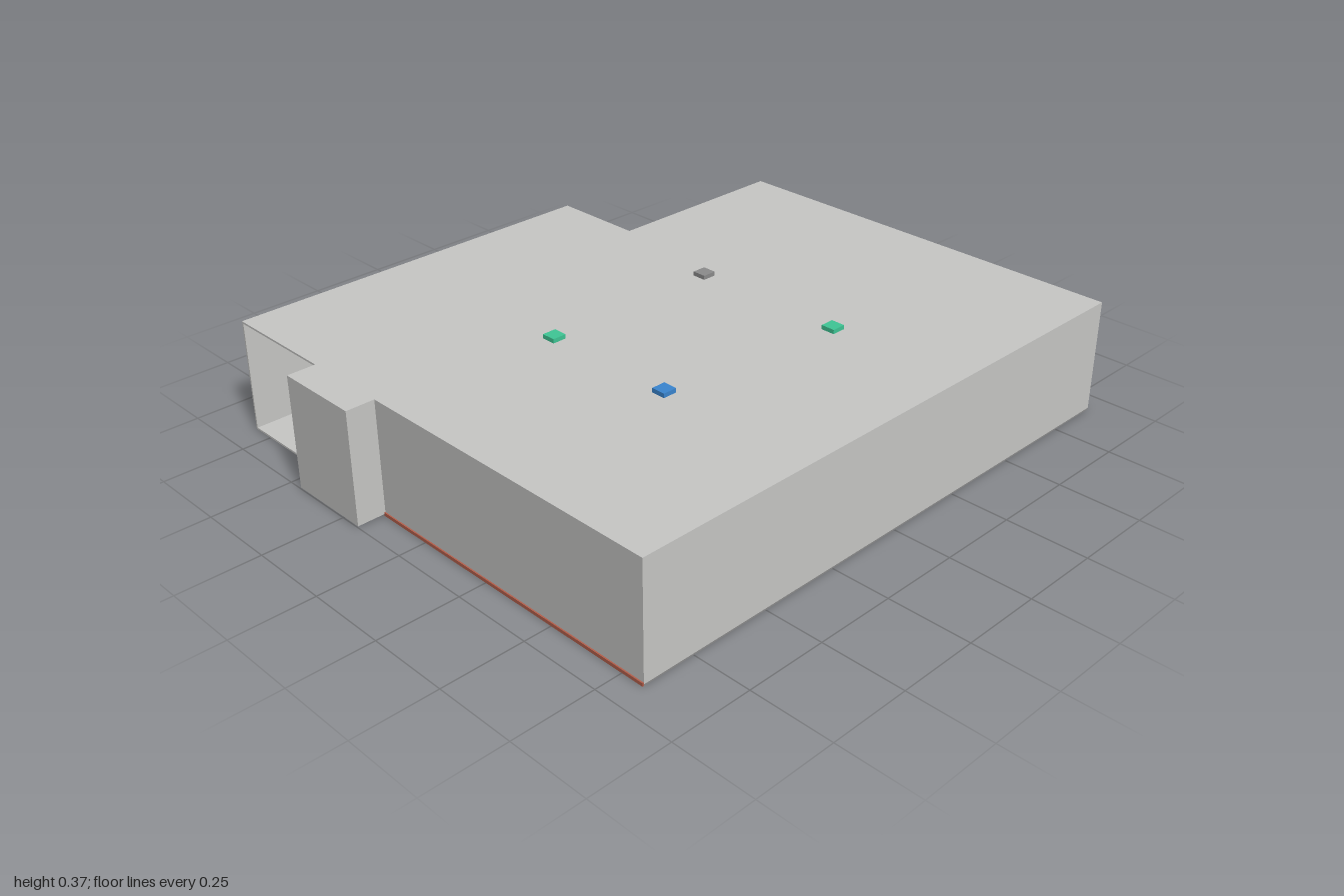
import * as THREE from 'three';
import { mergeVertices } from 'three/addons/utils/BufferGeometryUtils.js';

const material = (name, color) => {
  const m = new THREE.MeshStandardMaterial({ color });
  m.name = name;
  return m;
};

export function createModel() {
  const group = new THREE.Group();
  const wall = material('wall grey', 0xc8c8c6);
  const slabGrey = material('slab grey', 0x8c8c8c);
  const brick = material('brick red', 0xb5604c);
  const green = material('green', 0x3fc796);
  const blue = material('blue', 0x3a86d0);
  const frame = material('frame dark', 0x34404c);
  const tankGrey = material('tank grey', 0xd6d6d6);

  const add = (name, geometry, mat) => {
    const mesh = new THREE.Mesh(geometry, mat);
    mesh.name = name;
    group.add(mesh);
    return mesh;
  };
  // Box given by its lower and upper corners
  const box = (name, mat, x0, y0, z0, x1, y1, z1) =>
    add(name, new THREE.BoxGeometry(x1 - x0, y1 - y0, z1 - z0)
      .translate((x0 + x1) / 2, (y0 + y1) / 2, (z0 + z1) / 2), mat);
  // Floor plan of [x, z] corners raised from y0 to y1
  const prism = (name, mat, plan, y0, y1) => {
    const shape = new THREE.Shape(plan.map(([x, z]) => new THREE.Vector2(x, -z)));
    const g = new THREE.ExtrudeGeometry(shape, { depth: y1 - y0, bevelEnabled: false });
    add(name, g.rotateX(-Math.PI / 2).translate(0, y0, 0), mat);
  };

  const L = -0.817, R = 0.82, F = 0.912, B = -0.92, TOP = 0.354;
  const porchZ = 0.69, porchX = -0.45, bayX = -0.18, notchX = -0.52, notchZ = -0.307;

  // Main hall with the projecting front bay
  prism('hall', wall, [
    [L, porchZ], [porchX, porchZ], [porchX, 1], [bayX, 1], [bayX, F], [R, F],
    [R, B + 0.01], [notchX, B + 0.01], [notchX, notchZ], [L, notchZ],
  ], 0.005, TOP);

  // Ground slab
  prism('groundSlab', slabGrey, [
    [L, porchZ], [porchX, porchZ], [porchX, F], [R, F],
    [R, B], [notchX, B], [notchX, notchZ], [L, notchZ],
  ], 0, 0.005);
  box('frontPlinth', brick, bayX, 0, F, R, 0.01, F + 0.004);
  box('backPlinth', brick, notchX, 0.005, B + 0.003, R, 0.011, B + 0.011);

  // Rim around the slightly recessed back wall
  box('backRimTop', wall, notchX, TOP - 0.006, B, R, TOP, B + 0.01);
  box('backRimRight', wall, notchX, 0.005, B, notchX + 0.006, TOP - 0.006, B + 0.01);
  box('backRimLeft', wall, R - 0.006, 0.005, B, R, TOP - 0.006, B + 0.01);

  // Open porch at the front corner
  box('porchFloor', wall, L, 0.004, porchZ, porchX, 0.01, F);
  box('porchRoof', wall, L, TOP - 0.006, porchZ, porchX, TOP, F);
  box('porchSideWall', wall, L, 0.01, porchZ, L + 0.006, TOP - 0.006, F);

  // Two glazed windows on the right side
  for (const z0 of [-0.23, 0.365]) {
    const w = 0.285, y0 = 0.1, y1 = 0.345, t = 0.006;
    box('windowGlass', blue, L - 0.001, y0, z0, L + 0.001, y1, z0 + w);
    for (const f of [0, 0.2, 0.36, 0.74, 1]) {
      const z = z0 + f * (w - t);
      box('windowMullion', frame, L - 0.003, y0, z, L, y1, z + t);
    }
    for (const y of [y0, 0.275, y1 - t]) {
      box('windowRail', frame, L - 0.003, y, z0, L, y + t, z0 + w);
    }
  }

  // Small door in the back notch
  box('backDoor', green, -0.6, 0.005, notchZ - 0.003, -0.545, 0.108, notchZ + 0.001);

  // Softly shaded tank on the back wall
  const tank = new THREE.BoxGeometry(0.205, 0.25, 0.09);
  tank.deleteAttribute('normal');
  tank.deleteAttribute('uv');
  const softTank = mergeVertices(tank);
  softTank.computeVertexNormals();
  add('backTank', softTank, tankGrey).position.set(-0.3, 0.135, -0.955);

  // Roof units
  for (const [x, z, mat] of [
    [-0.117, -0.235, slabGrey], [0.386, -0.235, green],
    [-0.117, 0.355, green], [0.317, 0.355, blue],
  ]) {
    box('roofUnit', mat, x - 0.022, TOP, z - 0.022, x + 0.022, TOP + 0.013, z + 0.022);
  }
  return group;
}
